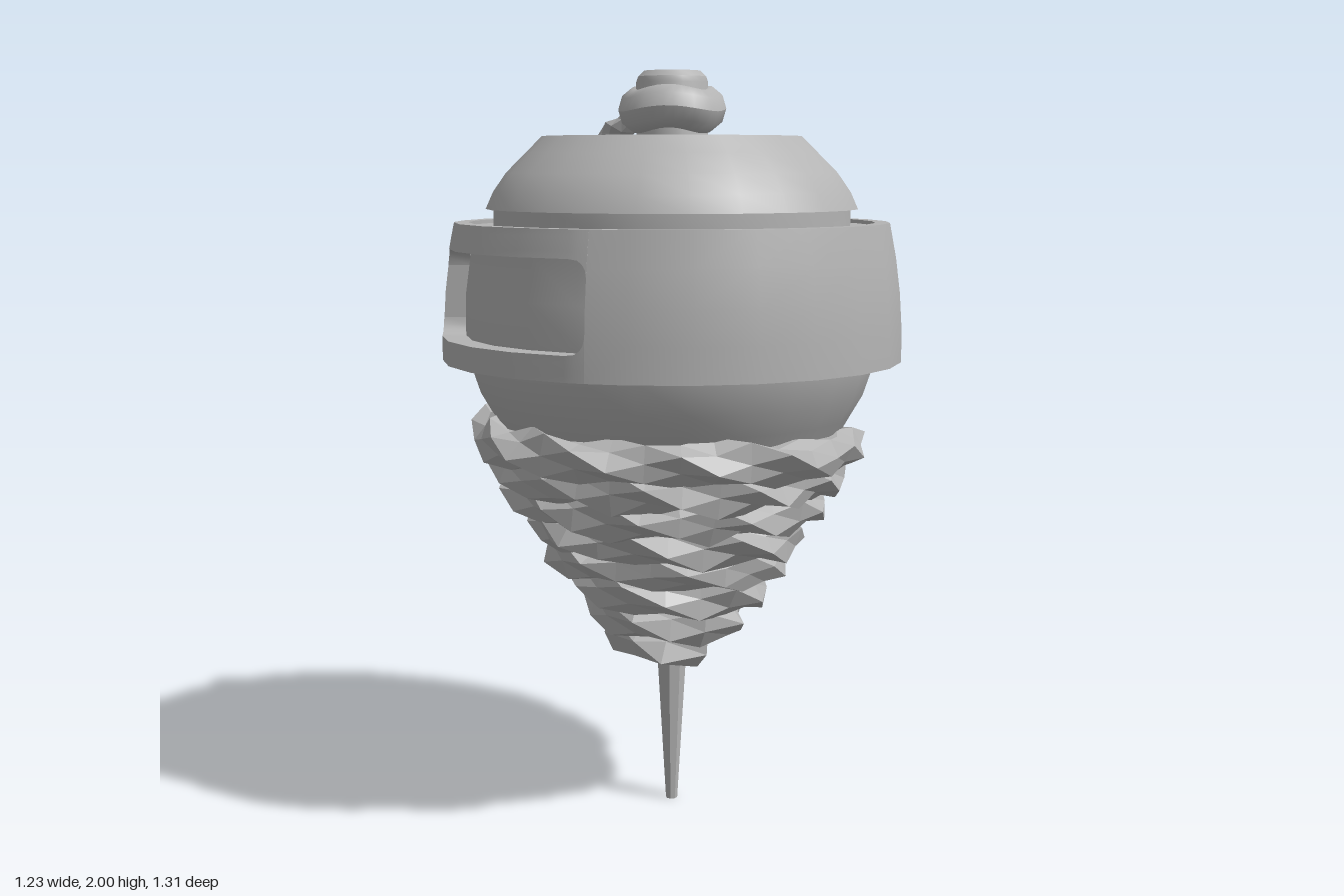
import * as THREE from 'three';
import { toCreasedNormals } from 'three/addons/utils/BufferGeometryUtils.js';

const grey = new THREE.MeshStandardMaterial({ color: 0xb4b4b4 });
grey.name = 'plain grey';
const ropeGrey = grey.clone();
ropeGrey.name = 'plain grey, faceted';
ropeGrey.flatShading = true;

let seed = 7;
const rand = () => (seed = (seed * 16807) % 2147483647) / 2147483647 - 0.5;
const rad = THREE.MathUtils.degToRad;

function part(name, geometry, material = grey) {
  const mesh = new THREE.Mesh(geometry, material);
  mesh.name = name;
  return mesh;
}

// Turned solid from [radius, height] pairs, bottom to top
function turned(name, profile, sides = 24, crease = 0.45) {
  const points = profile.map(([r, y]) => new THREE.Vector2(r, y));
  return part(name, toCreasedNormals(new THREE.LatheGeometry(points, sides), crease));
}

// Skin over equal-sized closed cross-sections, with fan caps on both ends
function loft(sections) {
  const m = sections[0].length, pos = [], index = [];
  sections.flat().forEach((p) => pos.push(p.x, p.y, p.z));
  for (let j = 0; j < sections.length - 1; j++) {
    for (let i = 0; i < m; i++) {
      const a = j * m + i, d = j * m + (i + 1) % m, b = a + m, c = d + m;
      index.push(a, d, b, b, d, c);
    }
  }
  const last = (sections.length - 1) * m;
  for (let i = 1; i < m - 1; i++) {
    index.push(0, i + 1, i, last, last + i, last + i + 1);
  }
  const g = new THREE.BufferGeometry();
  g.setAttribute('position', new THREE.Float32BufferAttribute(pos, 3));
  g.setIndex(index);
  g.computeVertexNormals();
  return g;
}

// Twisted three-strand rope along a curve
function rope(name, points, step, radius, jitter) {
  const curve = new THREE.CatmullRomCurve3(points);
  curve.arcLengthDivisions = 1500;
  const n = Math.round(curve.getLength() / step);
  const { normals, binormals } = curve.computeFrenetFrames(n);
  const sections = [];
  for (let j = 0; j <= n; j++) {
    const centre = curve.getPointAt(j / n), ring = [];
    for (let i = 0; i < 6; i++) {
      const a = i * Math.PI / 3 + j * 0.7;
      const r = radius * ((i % 2 ? 0.7 : 1.08) + rand() * jitter);
      ring.push(centre.clone()
        .addScaledVector(normals[j], Math.cos(a) * r)
        .addScaledVector(binormals[j], Math.sin(a) * r));
    }
    sections.push(ring);
  }
  return part(name, loft(sections), ropeGrey);
}

// Cross-section of the sleeve wall at one angle
const sleeveRadius = (y) => 0.615 - 0.035 * Math.max(0, (y - 1.28) / 0.32) ** 2;
function wall(deg, y0, y1) {
  const s = Math.sin(rad(deg)), c = Math.cos(rad(deg));
  const at = (r, y) => new THREE.Vector3(r * s, y, r * c);
  const ring = [at(0.54, y1)];
  for (let i = 0; i <= 4; i++) {
    const y = y1 + (y0 - y1) * i / 4;
    ring.push(at(sleeveRadius(y), y));
  }
  ring.push(at(0.54, y0));
  return ring;
}

function sleeve() {
  const group = new THREE.Group();
  group.name = 'sleeve';
  const bottom = 1.24, top = 1.605, from = 235, to = 305;
  const add = (name, sections) => group.add(part(name, toCreasedNormals(loft(sections), 0.5)));
  // wall around the rest of the circle
  const around = [to];
  for (let a = 315; a <= 585; a += 15) around.push(a);
  around.push(from + 360);
  add('sleeveWall', around.map((a) => wall(a, bottom, top)));
  // strips over and under the slot, with rounded slot corners
  const angles = [235, 235.4, 236.2, 237.5, 240, 255, 270, 285, 300, 302.5, 303.8, 304.6, 305];
  const corner = (a) => {
    const t = Math.max(0, 1 - Math.min(a - from, to - a) / 4);
    return 0.045 * (1 - Math.sqrt(1 - t * t));
  };
  add('slotTop', angles.map((a) => wall(a, 1.535 - corner(a), top)));
  add('slotBottom', angles.map((a) => wall(a, bottom, 1.305 + corner(a))));
  return group;
}

export function createModel() {
  const model = new THREE.Group();
  model.name = 'spinningTop';
  const top = new THREE.Group();
  top.name = 'topAssembly';
  top.position.z = 0.04;
  model.add(top);

  // Body with egg-shaped underside
  top.add(turned('body', [
    [0, 0.42], [0.05, 0.42], [0.12, 0.5], [0.24, 0.68], [0.36, 0.88], [0.44, 1.02],
    [0.48, 1.09], [0.515, 1.15], [0.545, 1.24], [0.552, 1.32], [0.55, 1.42], [0.535, 1.53],
    [0.545, 1.595], [0.475, 1.595], [0.475, 1.645],
  ]));

  // Domed cap with a recess and a grooved floor
  top.add(turned('cap', [
    [0.46, 1.64], [0.495, 1.64], [0.475, 1.685], [0.44, 1.735], [0.39, 1.785], [0.345, 1.83],
    [0.32, 1.83], [0.32, 1.71], [0.22, 1.71], [0.215, 1.69], [0.19, 1.69], [0.185, 1.71],
    [0.16, 1.71], [0.155, 1.69], [0, 1.69],
  ]));

  // Two raised arc plates on the recess floor
  for (const side of [1, -1]) {
    const s = new THREE.Shape();
    s.absarc(0, 0, 0.285, rad(105), rad(140), false);
    s.absarc(0, 0, 0.225, rad(140), rad(105), true);
    const g = new THREE.ExtrudeGeometry(s, { depth: 0.015, bevelEnabled: false, curveSegments: 6 });
    g.rotateX(-Math.PI / 2);
    const plate = part('floorPlate', g);
    plate.position.y = 1.71;
    plate.rotation.y = side > 0 ? 0 : -rad(115);
    top.add(plate);
  }

  top.add(sleeve());

  // Stem with a bevelled head
  top.add(turned('stem', [
    [0.095, 1.68], [0.095, 1.97], [0.09, 1.985], [0.075, 2], [0, 2],
  ], 20));

  // Uneven loop of cord around the stem
  const loop = new THREE.TorusGeometry(0.09, 0.053, 10, 32);
  loop.rotateX(Math.PI / 2);
  const p = loop.attributes.position;
  for (let i = 0; i < p.count; i++) {
    const a = Math.atan2(p.getZ(i), p.getX(i));
    p.setY(i, p.getY(i) * 1.1 + 0.007 * Math.sin(3 * a + 1));
    const k = 1 + 0.02 * Math.sin(5 * a);
    p.setX(i, p.getX(i) * k);
    p.setZ(i, p.getZ(i) * k);
  }
  loop.computeVertexNormals();
  const stemLoop = part('stemLoop', loop);
  stemLoop.position.y = 1.9;
  top.add(stemLoop);

  // Tapered spike
  const spike = part('spike', toCreasedNormals(new THREE.CylinderGeometry(0.042, 0.016, 0.44, 8), 0.5));
  spike.position.y = 0.22;
  top.add(spike);

  // Rope wound down the cone
  const coil = [], turns = 7.5;
  for (let i = 0; i <= turns * 16; i++) {
    const t = i / (turns * 16), a = Math.PI + t * turns * Math.PI * 2;
    const r = THREE.MathUtils.lerp(0.505, 0.115, t) + 0.01 * Math.sin(i * 1.7);
    const y = THREE.MathUtils.lerp(1.06, 0.465, t);
    coil.push(new THREE.Vector3(Math.sin(a) * r, y, Math.cos(a) * r));
  }
  top.add(rope('woundRope', coil, 0.085, 0.058, 0.35));

  // Cord running from the stem loop down the back
  const path = [[-0.12, 1.88], [-0.24, 1.855], [-0.37, 1.79], [-0.5, 1.7], [-0.59, 1.58],
    [-0.645, 1.45], [-0.66, 1.32], [-0.645, 1.19], [-0.6, 1.11], [-0.5, 1.07]];
  top.add(rope('backCord', path.map(([z, y]) => new THREE.Vector3(-0.008, y, z)), 0.036, 0.034, 0.15));

  return model;
}
